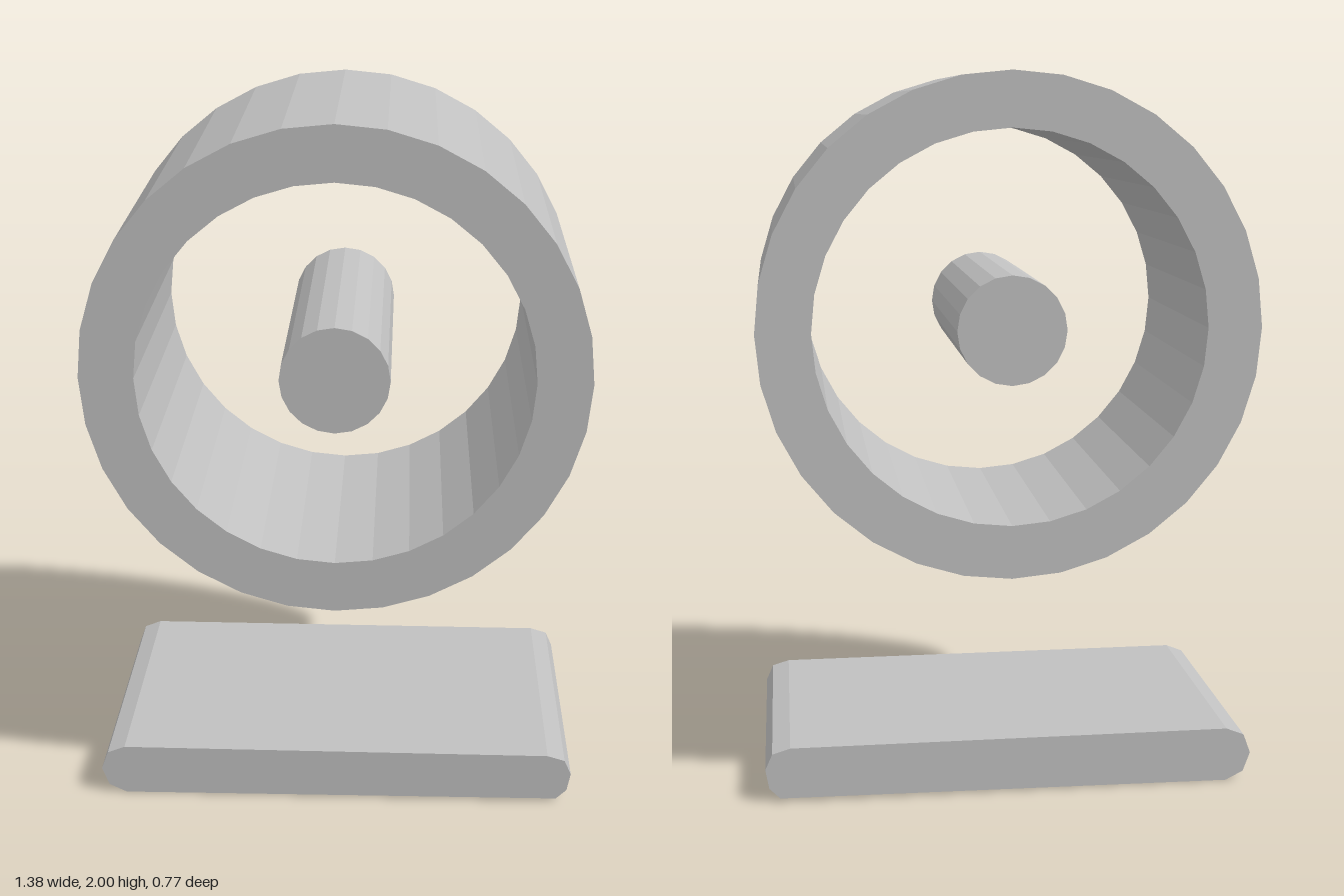
import * as THREE from 'three';

const DEPTH = 0.77;
const CENTER_Y = 1.31;

// Regular polygon points with a corner at the top
function circlePoints(radius, sides) {
  return Array.from({ length: sides }, (_, i) => {
    const a = Math.PI / 2 + (i / sides) * Math.PI * 2;
    return new THREE.Vector2(Math.cos(a) * radius, Math.sin(a) * radius);
  });
}

// Extrudes a front outline, centred on z = 0
function extrudePart(name, shape, material, y = 0) {
  const geometry = new THREE.ExtrudeGeometry(shape, { depth: DEPTH, bevelEnabled: false });
  geometry.translate(0, y, -DEPTH / 2);
  const mesh = new THREE.Mesh(geometry, material);
  mesh.name = name;
  return mesh;
}

export function createModel() {
  const model = new THREE.Group();
  model.name = 'ringAndBase';

  const grey = new THREE.MeshStandardMaterial({ color: 0xc0c0c0 });
  grey.name = 'light grey';

  // Hollow outer ring
  const ring = new THREE.Shape(circlePoints(0.69, 32));
  ring.holes.push(new THREE.Path(circlePoints(0.54, 32)));
  model.add(extrudePart('outerRing', ring, grey, CENTER_Y));

  // Solid rod along the ring's axis
  model.add(extrudePart('centreRod', new THREE.Shape(circlePoints(0.15, 20)), grey, CENTER_Y));

  // Flat base slab with faceted round ends and a slightly sloping underside
  const outline = [
    [-0.62, 0], [0.65, 0.01], [0.68, 0.04], [0.69, 0.095], [0.67, 0.14], [0.62, 0.155],
    [-0.62, 0.155], [-0.67, 0.135], [-0.69, 0.08], [-0.67, 0.025],
  ].map(([x, y]) => new THREE.Vector2(x, y));
  model.add(extrudePart('baseSlab', new THREE.Shape(outline), grey));

  return model;
}
